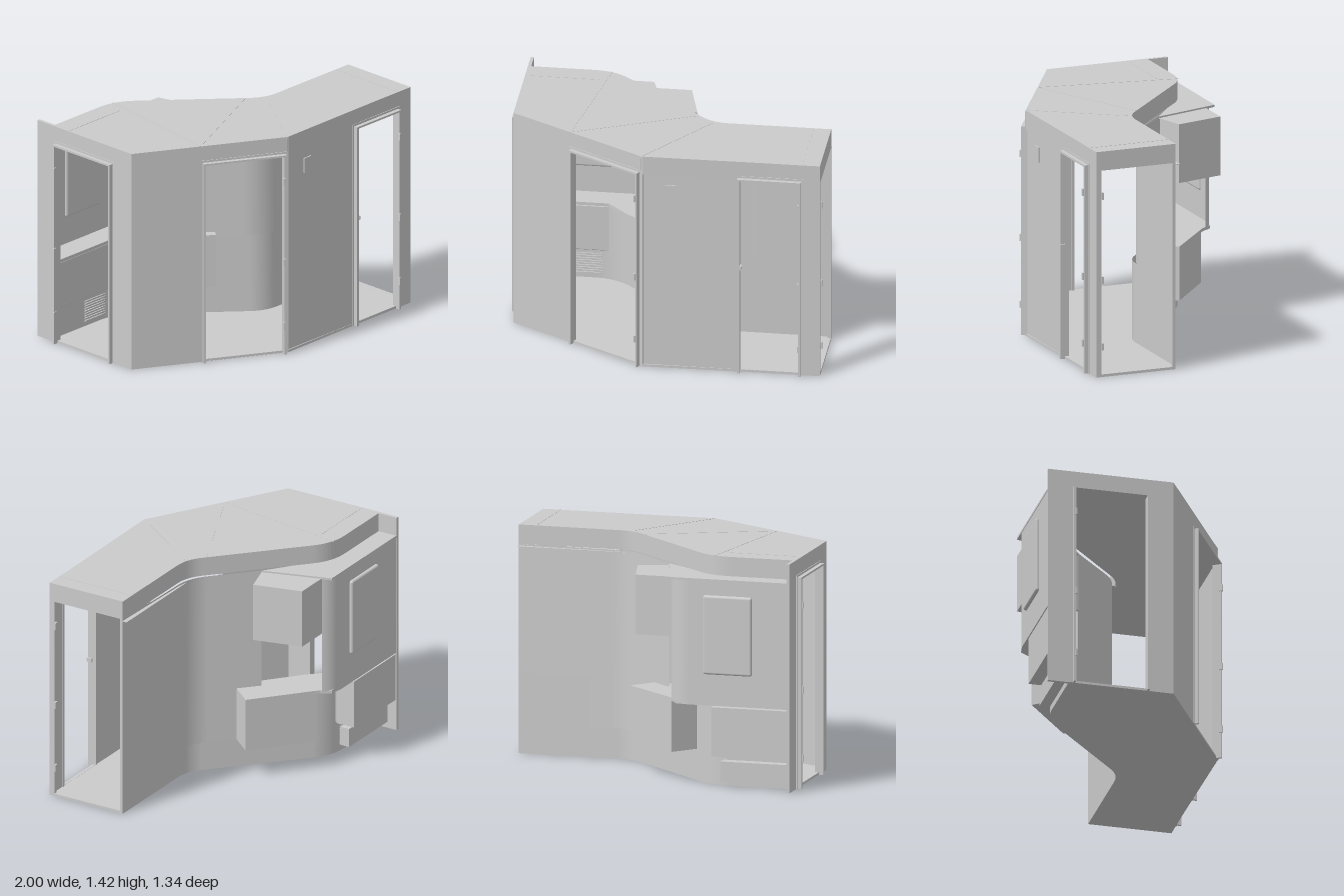
import * as THREE from 'three';
import { RoundedBoxGeometry } from 'three/addons/geometries/RoundedBoxGeometry.js';

const grey = new THREE.MeshStandardMaterial({ color: 0xcccccc, side: THREE.DoubleSide });

function add(parent, name, geometry, x = 0, y = 0, z = 0) {
  const mesh = new THREE.Mesh(geometry, grey);
  mesh.name = name;
  mesh.position.set(x, y, z);
  parent.add(mesh);
  return mesh;
}

// Box given by its minimum and maximum corners
function block(parent, name, [x0, y0, z0], [x1, y1, z1]) {
  return add(parent, name, new THREE.BoxGeometry(x1 - x0, y1 - y0, z1 - z0),
    (x0 + x1) / 2, (y0 + y1) / 2, (z0 + z1) / 2);
}

// Upright prism over a plan outline of [x, z] points
function prism(parent, name, plan, y0, y1) {
  const shape = new THREE.Shape(plan.map(([x, z]) => new THREE.Vector2(x, -z)));
  const geo = new THREE.ExtrudeGeometry(shape, { depth: y1 - y0, bevelEnabled: false });
  geo.rotateX(-Math.PI / 2);
  return add(parent, name, geo, 0, y0, 0);
}

// Thin upright sheet that follows a plan path
function sheet(parent, name, plan, y0, y1) {
  const pos = [], index = [];
  plan.forEach(([x, z], i) => {
    pos.push(x, y0, z, x, y1, z);
    if (i) { const a = 2 * i - 2; index.push(a, a + 1, a + 2, a + 1, a + 3, a + 2); }
  });
  const geo = new THREE.BufferGeometry();
  geo.setAttribute('position', new THREE.Float32BufferAttribute(pos, 3));
  geo.setIndex(index);
  geo.computeVertexNormals();
  return add(parent, name, geo);
}

// Plan path with rounded corners: [x, z, radius]
function rounded(points) {
  const path = new THREE.Path();
  const v = points.map(p => new THREE.Vector2(p[0], p[1]));
  path.moveTo(v[0].x, v[0].y);
  for (let i = 1; i < v.length - 1; i++) {
    const r = points[i][2];
    const a = v[i].clone().add(v[i - 1].clone().sub(v[i]).setLength(r));
    const b = v[i].clone().add(v[i + 1].clone().sub(v[i]).setLength(r));
    path.lineTo(a.x, a.y);
    path.quadraticCurveTo(v[i].x, v[i].y, b.x, b.y);
  }
  path.lineTo(v.at(-1).x, v.at(-1).y);
  return path.getPoints(12).map(p => [p.x, p.y]);
}

// Wall with a doorway; local x runs along the wall, local +z faces outside
function doorWall(parent, name, from, to, a, b, { frame = 0.03, hingeAt = b, sill = 0 }) {
  const H = 1.42, top = 1.3;
  const dx = to[0] - from[0], dz = to[1] - from[1], L = Math.hypot(dx, dz);
  const wall = new THREE.Group();
  wall.name = name;
  wall.position.set(from[0], 0, from[1]);
  wall.rotation.y = Math.atan2(-dz, dx);
  parent.add(wall);

  const shape = new THREE.Shape([[0, 0], [L, 0], [L, H], [0, H]].map(p => new THREE.Vector2(...p)));
  shape.holes.push(new THREE.Path([[a, sill + 0.001], [a, top], [b, top], [b, sill + 0.001]].map(p => new THREE.Vector2(...p))));
  add(wall, 'wallPanel', new THREE.ExtrudeGeometry(shape, { depth: 0.02, bevelEnabled: false }), 0, 0, -0.02);

  // Door frame standing proud of the wall
  if (frame) {
    block(wall, 'frameJamb', [a - 0.015, 0, -0.025], [a, top, frame]);
    block(wall, 'frameJamb', [b, 0, -0.025], [b + 0.015, top, frame]);
    block(wall, 'frameHead', [a - 0.015, top, -0.025], [b + 0.015, top + 0.012, frame]);
    block(wall, 'frameTrim', [a - 0.03, 0, 0], [a - 0.015, top + 0.025, 0.004]);
    block(wall, 'frameTrim', [b + 0.015, 0, 0], [b + 0.03, top + 0.025, 0.004]);
    block(wall, 'frameTrim', [a - 0.03, top + 0.012, 0], [b + 0.03, top + 0.025, 0.004]);
  }
  for (const y of [0.19, 0.61, 1.14])
    block(wall, 'hinge', [hingeAt - 0.006, y - 0.022, frame - 0.015], [hingeAt + 0.006, y + 0.022, frame + 0.009]);
  return wall;
}

export function createModel() {
  const model = new THREE.Group();
  model.name = 'cabinModule';

  // Shared plan: curved back line, then the straight front and the slanted side
  const back = rounded([[-0.96, -0.53], [-0.42, -0.53, 0.13], [0.26, 0.1, 0.1], [0.99, 0.1]]);
  const plan = [...back, [0.99, 0.622], [-0.1, 0.632], [-0.96, 0.128]];
  prism(model, 'floor', plan, 0, 0.015);
  prism(model, 'roof', plan, 1.3, 1.42);

  // Walls with doorways
  doorWall(model, 'slantedWall', [-0.96, 0.13], [-0.1, 0.635], 0.464, 0.962, {});
  const front = doorWall(model, 'frontWall', [-0.1, 0.625], [0.99, 0.625], 0.6, 0.96, { sill: 0.015 });
  doorWall(model, 'rightEndWall', [-0.96, -0.66], [-0.96, 0.13], 0.17, 0.62, { hingeAt: 0.17 });
  doorWall(model, 'leftEndWall', [0.99, 0.625], [0.99, 0.1], 0.035, 0.505, { frame: 0, hingeAt: 0.041, sill: 0.015 });
  block(front, 'latch', [0.6, 0.7, 0], [0.612, 0.725, 0.034]);
  block(front, 'wallControl', [0.14, 1.14, 0], [0.205, 1.235, 0.008]);
  block(front, 'cornerPost', [-0.015, 1.3, -0.01], [0.002, 1.41, 0.006]);

  // Back walls: low wall all along, tall wall on the left, set-back panel on the right
  sheet(model, 'lowBackWall', back, 0, 0.515);
  const tall = rounded([[-0.07, -0.235], [0.26, 0.08, 0.12], [0.99, 0.1]]);
  sheet(model, 'tallBackWall', tall, 0.5, 1.3);
  const skin = rounded([[-0.06, -0.24], [0.275, 0.075, 0.12], [0.53, 0.088]]);
  sheet(model, 'outerSkin', skin, 0.195, 1.29);
  const panel = rounded([[-0.96, -0.655], [-0.24, -0.655, 0.075], [-0.19, -0.595]]);
  sheet(model, 'rearPanel', panel, 0.53, 1.29);
  block(model, 'backLedge', [0.3, 1.286, 0.07], [0.99, 1.29, 0.1]);
  prism(model, 'rearLedge', [[-0.96, -0.5], [-0.96, -0.658], [-0.2, -0.658], [-0.18, -0.595],
    [-0.07, -0.235], [-0.42, -0.5]], 1.286, 1.3);

  // Mirror set through the rear panel
  add(model, 'mirror', new RoundedBoxGeometry(0.31, 0.49, 0.035, 3, 0.015), -0.565, 0.955, -0.658);

  // Upper cabinet, counter and slanted lower cabinet
  prism(model, 'upperCabinet', [[-0.19, -0.595], [0.04, -0.595], [0.115, -0.29], [-0.07, -0.235]], 0.92, 1.29);
  prism(model, 'counter', [[-0.96, -0.5], [-0.96, -0.655], [-0.31, -0.655], [-0.23, -0.64], [-0.19, -0.58],
    [-0.17, -0.56], [0.17, -0.27], [0.015, -0.085], [-0.335, -0.375], [-0.46, -0.5]], 0.515, 0.535);
  prism(model, 'lowerCabinet', [[-0.18, -0.56], [0.17, -0.27], [0.015, -0.085], [-0.335, -0.375]], 0.195, 0.515);

  // Boxes behind the low wall
  block(model, 'rearCupboard', [-0.96, 0.2, -0.653], [-0.46, 0.505, -0.53]);
  block(model, 'rearDuct', [-0.96, 0.04, -0.595], [-0.5, 0.16, -0.53]);
  add(model, 'cupboardDoor', new RoundedBoxGeometry(0.46, 0.3, 0.012, 2, 0.005), -0.69, 0.355, -0.524);
  for (let i = 0; i < 9; i++)
    block(model, 'ventSlat', [-0.68, 0.045 + i * 0.016, -0.53], [-0.5, 0.053 + i * 0.016, -0.522]);

  // Raised seams on the roof
  const seams = [[-0.44, -0.52, -0.58, 0.35], [-0.1, 0.62, 0.26, 0.11], [-0.58, 0.35, 0.16, 0.02],
    [0.88, 0.11, 0.88, 0.62], [-0.95, -0.4, -0.5, -0.4]];
  for (const [x0, z0, x1, z1] of seams) {
    const seam = add(model, 'roofSeam', new THREE.BoxGeometry(Math.hypot(x1 - x0, z1 - z0), 0.003, 0.006),
      (x0 + x1) / 2, 1.42, (z0 + z1) / 2);
    seam.rotation.y = Math.atan2(z0 - z1, x1 - x0);
  }
  return model;
}
